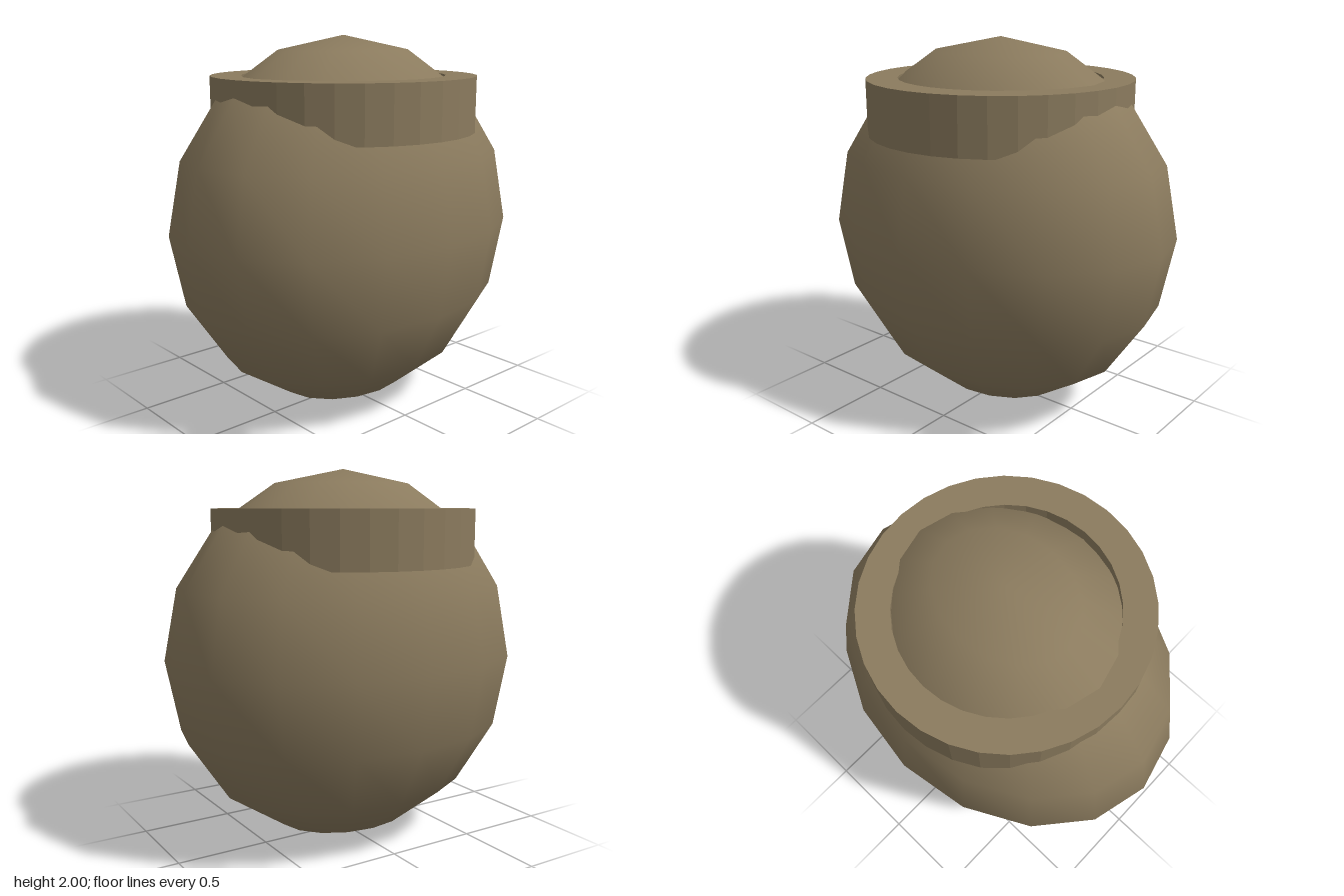
import * as THREE from 'three';

export function createModel() {
  const group = new THREE.Group();
  const clay = new THREE.MeshStandardMaterial({ color: 0x8b7b5e });
  clay.name = 'brown clay';
  // the collar shares the colour but keeps crisp facets
  const clayFaceted = clay.clone();
  clayFaceted.name = 'brown clay faceted';
  clayFaceted.flatShading = true;

  // Smooth-shaded pot body, flattened front to back
  const body = new THREE.Mesh(new THREE.SphereGeometry(1, 16, 8), clay);
  body.name = 'body';
  body.scale.z = 0.79;
  body.position.y = 1;
  group.add(body);

  // Round collar: closed rectangular profile, turned about y
  const outer = 0.707, inner = 0.542, bottom = 1.502, top = 1.793;
  const profile = [
    [outer, bottom], [outer, top], [inner, top], [inner, bottom], [outer, bottom],
  ].map(([r, y]) => new THREE.Vector2(r, y));
  const collar = new THREE.Mesh(new THREE.LatheGeometry(profile, 32), clayFaceted);
  collar.name = 'collar';
  group.add(collar);

  return group;
}
